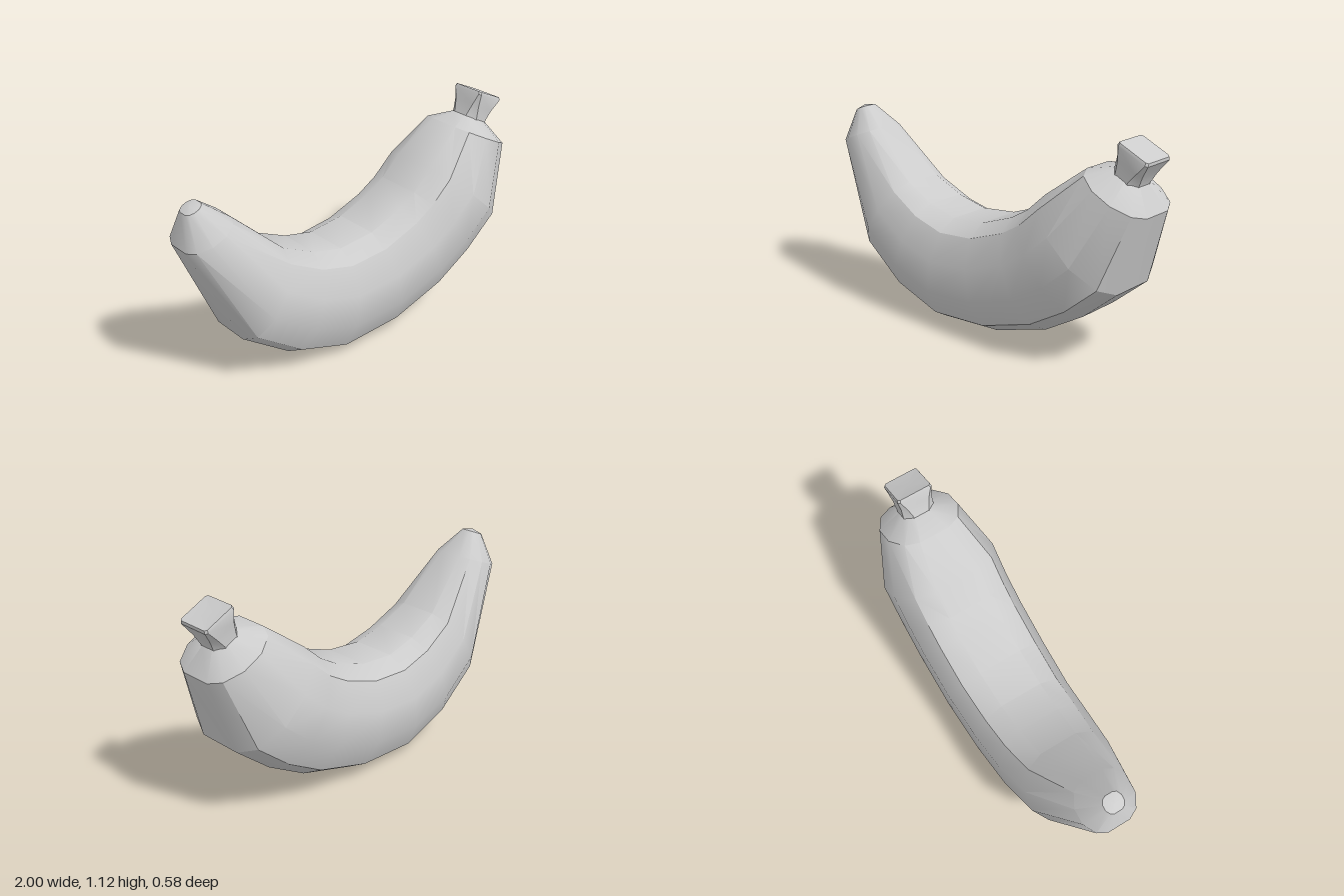
import * as THREE from 'three';
import { toCreasedNormals } from 'three/addons/utils/BufferGeometryUtils.js';

// Mirrors a quarter outline of [across, outward] points into a closed ring outline.
function fullOutline(quarter) {
  const half = [...quarter, ...quarter.map(([w, h]) => [w, -h]).reverse()];
  return [...half, ...half.map(([w, h]) => [-w, h]).reverse()];
}

// Skins a row of rings; each is [innerX, innerY, outerX, outerY, halfWidth, outline].
function loft(rings, startCap, endCap) {
  const n = rings[0][5].length;
  const pos = [], index = [];
  for (const [ix, iy, ox, oy, hw, outline] of rings) {
    for (const [w, h] of outline) {
      pos.push((ix + ox) / 2 + h * (ox - ix) / 2, (iy + oy) / 2 + h * (oy - iy) / 2, w * hw);
    }
  }
  for (let r = 0; r < rings.length - 1; r++) {
    for (let i = 0; i < n; i++) {
      const j = (i + 1) % n, a = r * n, b = a + n;
      index.push(a + i, b + i, b + j, a + i, b + j, a + j);
    }
  }
  const first = pos.length / 3, last = (rings.length - 1) * n;
  pos.push(...startCap, 0, ...endCap, 0);
  for (let i = 0; i < n; i++) {
    const j = (i + 1) % n;
    index.push(first, i, j, first + 1, last + j, last + i);
  }
  const geometry = new THREE.BufferGeometry();
  geometry.setAttribute('position', new THREE.Float32BufferAttribute(pos, 3));
  geometry.setIndex(index);
  return toCreasedNormals(geometry, 0.54);
}

export function createModel() {
  const group = new THREE.Group();
  group.name = 'banana';
  const material = new THREE.MeshStandardMaterial({ color: 0xcccccc });
  const add = (name, geometry) => {
    const mesh = new THREE.Mesh(geometry, material);
    mesh.name = name;
    group.add(mesh);
  };

  // Curved fruit: twelve-sided rings from the blossom tip to the neck
  const round = fullOutline([[0.41, 1], [0.76, 0.8], [1, 0.3]]);
  add('fruitBody', loft([
    [-0.88, 1.02, -0.965, 0.985, 0.05],
    [-0.75, 0.92, -1.0, 0.82, 0.145],
    [-0.49, 0.68, -0.75, 0.28, 0.245],
    [-0.32, 0.60, -0.49, 0.10, 0.27],
    [-0.15, 0.56, -0.20, 0.005, 0.28],
    [0.05, 0.58, 0.15, 0.03, 0.29],
    [0.24, 0.65, 0.47, 0.13, 0.292],
    [0.34, 0.71, 0.69, 0.26, 0.292],
    [0.45, 0.81, 0.88, 0.42, 0.292],
    [0.66, 0.97, 0.995, 0.80, 0.2],
    [0.78, 0.99, 0.92, 0.92, 0.085],
  ].map((r) => [...r, round]), [-0.93, 1.015], [0.85, 0.955]));

  // Flared stem: chamfered square, rounder at the base
  const soft = fullOutline([[0.5, 1], [1, 0.5]]);
  const mid = fullOutline([[0.7, 1], [1, 0.7]]);
  const square = fullOutline([[0.88, 1], [1, 0.88]]);
  add('stem', loft([
    [0.775, 0.975, 0.915, 0.905, 0.085, soft],
    [0.785, 0.995, 0.92, 0.925, 0.085, soft],
    [0.808, 1.05, 0.947, 0.975, 0.085, mid],
    [0.825, 1.11, 0.99, 1.035, 0.095, square],
    [0.833, 1.123, 0.99, 1.05, 0.09, square],
  ], [0.845, 0.94], [0.908, 1.08]));

  return group;
}
